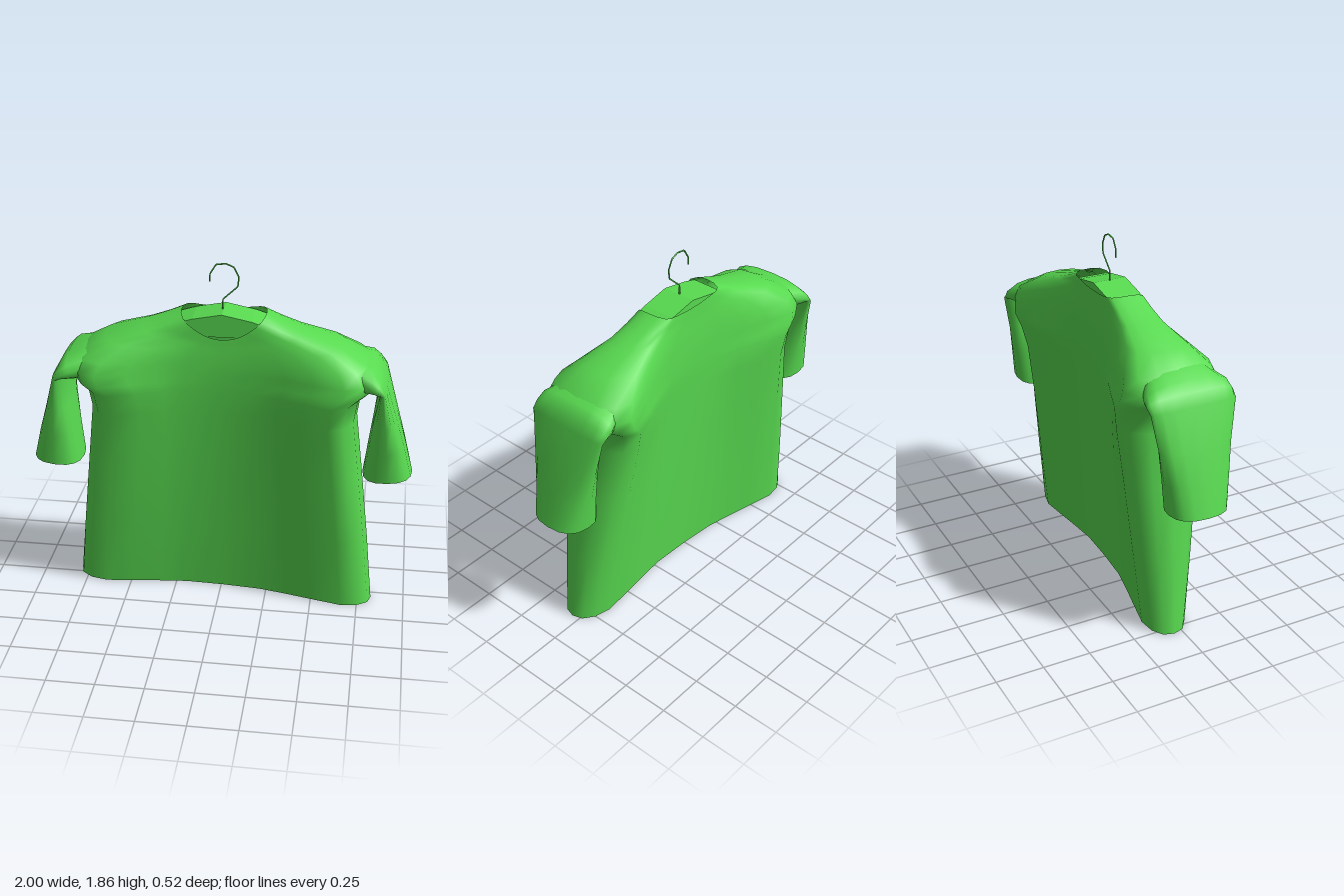
import * as THREE from 'three';

const fabric = new THREE.MeshStandardMaterial({ color: 0x58da50, side: THREE.DoubleSide });
fabric.name = 'green';

// Skin a list of closed rings (arrays of [x, y, z]) with smooth normals
function loft(name, rings) {
  const n = rings[0].length;
  const index = [];
  for (let i = 0; i < rings.length - 1; i++) {
    for (let j = 0; j < n; j++) {
      const a = i * n + j, b = i * n + (j + 1) % n;
      index.push(a, b, b + n, a, b + n, a + n);
    }
  }
  const geo = new THREE.BufferGeometry();
  geo.setAttribute('position', new THREE.Float32BufferAttribute(rings.flat(2), 3));
  geo.setIndex(index);
  geo.computeVertexNormals();
  const mesh = new THREE.Mesh(geo, fabric);
  mesh.name = name;
  return mesh;
}

// Half section of the torso: position across, swell towards the sides, rounding at the edge
const SECTION = [
  [0, 0, 1], [0.25, 0.06, 1], [0.42, 0.32, 1], [0.6, 0.65, 1],
  [0.8, 1, 1], [0.91, 1, 0.86], [0.98, 1, 0.5], [1, 1, 0],
];

// One torso ring; twist swings the sides to front and back, dips cut the neckline
function torsoRing([y, w, side, mid, twist, frontDip = 0, backDip = 0]) {
  const point = ([s, swell, round], sx, sz) => [
    sx * s * w + 0.012,
    y - (sz > 0 ? frontDip : backDip) * (1 - s * s),
    sz * (mid + (side - mid) * swell) * round + sx * s * twist,
  ];
  const out = SECTION.slice().reverse();
  const inner = SECTION.slice(1, -1);
  return [
    ...out.map(p => point(p, 1, -1)),
    ...SECTION.slice(1).map(p => point(p, -1, -1)),
    ...inner.slice().reverse().map(p => point(p, -1, 1)),
    point(SECTION[0], 1, 1),
    ...inner.map(p => point(p, 1, 1)),
  ];
}

// One sleeve ring between an inner and an outer edge point, mirrored by side
function sleeveRing([ix, iy, ox, oy, depth], side) {
  const soften = v => Math.sign(v) * Math.abs(v) ** 0.8;
  const ring = [];
  for (let j = 0; j < 16; j++) {
    const a = side * j / 16 * Math.PI * 2;
    const c = soften(Math.cos(a));
    ring.push([
      side * ((ix + ox) / 2 + c * (ox - ix) / 2),
      (iy + oy) / 2 + c * (oy - iy) / 2,
      soften(Math.sin(a)) * depth - side * 0.01,
    ]);
  }
  return ring;
}

export function createModel() {
  const group = new THREE.Group();
  group.name = 'shirtOnHanger';

  // Torso from hem to neckline: height, half width, side depth, middle depth, twist, dips
  group.add(loft('torso', [
    [0.006, 0.812, 0.11, 0.032, 0.045],
    [0.4, 0.772, 0.153, 0.06, 0.036],
    [0.8, 0.725, 0.195, 0.085, 0.027],
    [1.1, 0.688, 0.232, 0.105, 0.016],
    [1.22, 0.705, 0.255, 0.11, 0.008],
    [1.27, 0.765, 0.26, 0.112, 0],
    [1.33, 0.785, 0.252, 0.112, 0, 0.01],
    [1.4, 0.75, 0.23, 0.112, 0, 0.03],
    [1.48, 0.61, 0.16, 0.108, 0, 0.05],
    [1.54, 0.42, 0.115, 0.105, 0, 0.08, 0.01],
    [1.58, 0.31, 0.105, 0.104, 0, 0.1, 0.015],
    [1.62, 0.215, 0.1, 0.102, 0, 0.12, 0.02],
  ].map(torsoRing)));

  // Sleeves hanging from the shoulders
  const sleeve = [
    [0.65, 1.27, 0.66, 1.435, 0.18],
    [0.73, 1.265, 0.775, 1.4, 0.225],
    [0.775, 1.275, 0.815, 1.355, 0.232],
    [0.808, 1.28, 0.848, 1.295, 0.228],
    [0.785, 1.1, 0.912, 1.09, 0.192],
    [0.765, 0.94, 0.957, 0.94, 0.17],
    [0.742, 0.755, 1.0, 0.775, 0.148],
  ];
  for (const side of [1, -1]) {
    group.add(loft(side > 0 ? 'leftSleeve' : 'rightSleeve', sleeve.map(r => sleeveRing(r, side))));
  }

  // Hanger body filling the neck opening
  const shape = new THREE.Shape([
    [0, 1.63], [-0.15, 1.6], [-0.23, 1.575], [-0.23, 1.51], [0.23, 1.51], [0.23, 1.575], [0.15, 1.6],
  ].map(([x, y]) => new THREE.Vector2(x, y)));
  const barGeo = new THREE.ExtrudeGeometry(shape, { depth: 0.18, bevelEnabled: false });
  barGeo.translate(0.01, 0, -0.09);
  const bar = new THREE.Mesh(barGeo, fabric);
  bar.name = 'hangerBody';
  group.add(bar);

  // Wire hook
  const path = new THREE.CurvePath();
  const pts = [
    [0.005, 1.6], [0.005, 1.68], [0.08, 1.75], [0.085, 1.8], [0.06, 1.85],
    [0.02, 1.867], [-0.03, 1.86], [-0.06, 1.81], [-0.06, 1.77],
  ].map(([x, y]) => new THREE.Vector3(x, y, 0));
  for (let i = 1; i < pts.length; i++) path.add(new THREE.LineCurve3(pts[i - 1], pts[i]));
  const hook = new THREE.Mesh(new THREE.TubeGeometry(path, 48, 0.004, 6), fabric);
  hook.name = 'hangerHook';
  group.add(hook);

  return group;
}
